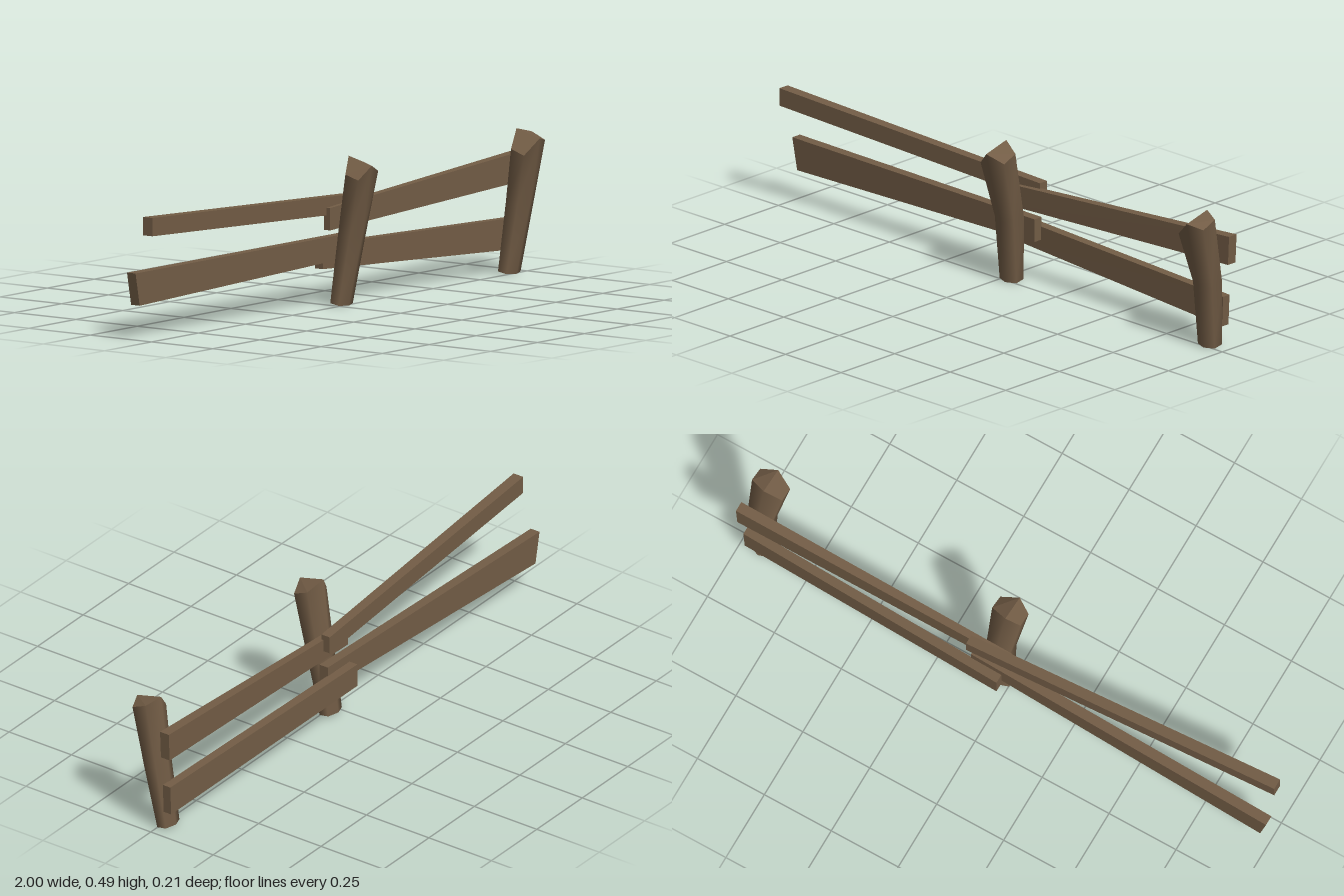
import * as THREE from 'three';
import { mergeGeometries } from 'three/addons/utils/BufferGeometryUtils.js';

function geometry(points, index) {
  const g = new THREE.BufferGeometry();
  g.setAttribute('position', new THREE.Float32BufferAttribute(points.flat(), 3));
  g.setIndex(index);
  return g;
}

// Six-sided ring; the front and back corners lie on the ridge line xm
function ring({ x0, x1, xm, zf, zb, y }) {
  const q = (zf - zb) * 0.22;
  const [front, rightF, rightB, back, leftB, leftF] = y;
  return [
    [xm, front, zf], [x1, rightF, zf - q], [x1, rightB, zb + q],
    [xm, back, zb], [x0, leftB, zb + q], [x0, leftF, zf - q],
  ];
}

// Leaning post: smooth sides, flat base and a ridged, axe-cut top
function post(name, material, dx, top) {
  const rings = [
    ring({ x0: dx, x1: dx + 0.075, xm: dx + 0.037, zf: 0.013, zb: -0.048, y: [0, 0.002, 0.008, 0.01, 0.008, 0.002] }),
    ring({ x0: dx + 0.012, x1: dx + 0.098, xm: dx + 0.055, zf: 0.053, zb: -0.03, y: [0.225, 0.228, 0.236, 0.24, 0.236, 0.228] }),
    ring(top),
  ];
  const sideIndex = [];
  for (let r = 0; r < 2; r++) {
    for (let i = 0; i < 6; i++) {
      const a = r * 6 + i, b = r * 6 + (i + 1) % 6;
      sideIndex.push(a, b, b + 6, a, b + 6, a + 6);
    }
  }
  const sides = geometry(rings.flat(), sideIndex);
  sides.computeVertexNormals();
  const cap = geometry(rings[2], [0, 1, 2, 0, 2, 3, 0, 3, 4, 0, 4, 5]).toNonIndexed();
  const base = geometry(rings[0], [0, 2, 1, 0, 3, 2, 0, 4, 3, 0, 5, 4]).toNonIndexed();
  cap.computeVertexNormals();
  base.computeVertexNormals();
  const mesh = new THREE.Mesh(mergeGeometries([sides.toNonIndexed(), cap, base]), material);
  mesh.name = name;
  return mesh;
}

// Tapered plank between two end sections; cut shifts the lower corner of an end
function rail(name, material, start, end) {
  const g = new THREE.BoxGeometry(1, 1, 1).toNonIndexed();
  const p = g.attributes.position;
  for (let i = 0; i < p.count; i++) {
    const e = p.getX(i) < 0 ? start : end;
    const low = p.getY(i) < 0, front = p.getZ(i) > 0;
    p.setXYZ(i, e.x + (low ? e.cut : 0), low ? e.y[0] : e.y[1], front ? e.z[0] : e.z[1]);
  }
  g.computeVertexNormals();
  const mesh = new THREE.Mesh(g, material);
  mesh.name = name;
  return mesh;
}

export function createModel() {
  const wood = new THREE.MeshStandardMaterial({ name: 'weatheredWood', color: 0x735d46 });
  const group = new THREE.Group();
  group.name = 'brokenFence';

  // Posts
  group.add(
    post('middlePost', wood, -0.003, {
      x0: -0.008, x1: 0.098, xm: 0.037, zf: 0.104, zb: 0.01,
      y: [0.465, 0.44, 0.462, 0.49, 0.435, 0.42],
    }),
    post('endPost', wood, 0.89, {
      x0: 0.88, x1: 0.992, xm: 0.937, zf: 0.1, zb: 0.005,
      y: [0.45, 0.437, 0.46, 0.475, 0.415, 0.398],
    }),
  );

  // Rails
  group.add(
    rail('upperRightRail', wood,
      { x: -0.01, y: [0.247, 0.32], z: [-0.03, -0.055], cut: 0 },
      { x: 0.997, y: [0.288, 0.386], z: [-0.035, -0.07], cut: -0.005 }),
    rail('lowerRightRail', wood,
      { x: 0.005, y: [0.115, 0.195], z: [-0.07, -0.103], cut: 0 },
      { x: 0.975, y: [0.072, 0.175], z: [-0.03, -0.06], cut: -0.005 }),
    rail('upperLeftRail', wood,
      { x: -0.995, y: [0.345, 0.405], z: [0, -0.038], cut: 0 },
      { x: 0.13, y: [0.288, 0.348], z: [-0.05, -0.083], cut: 0 }),
    rail('lowerLeftRail', wood,
      { x: -1, y: [0.11, 0.218], z: [-0.065, -0.1], cut: 0.022 },
      { x: 0.12, y: [0.147, 0.225], z: [-0.035, -0.068], cut: 0 }),
  );
  return group;
}
